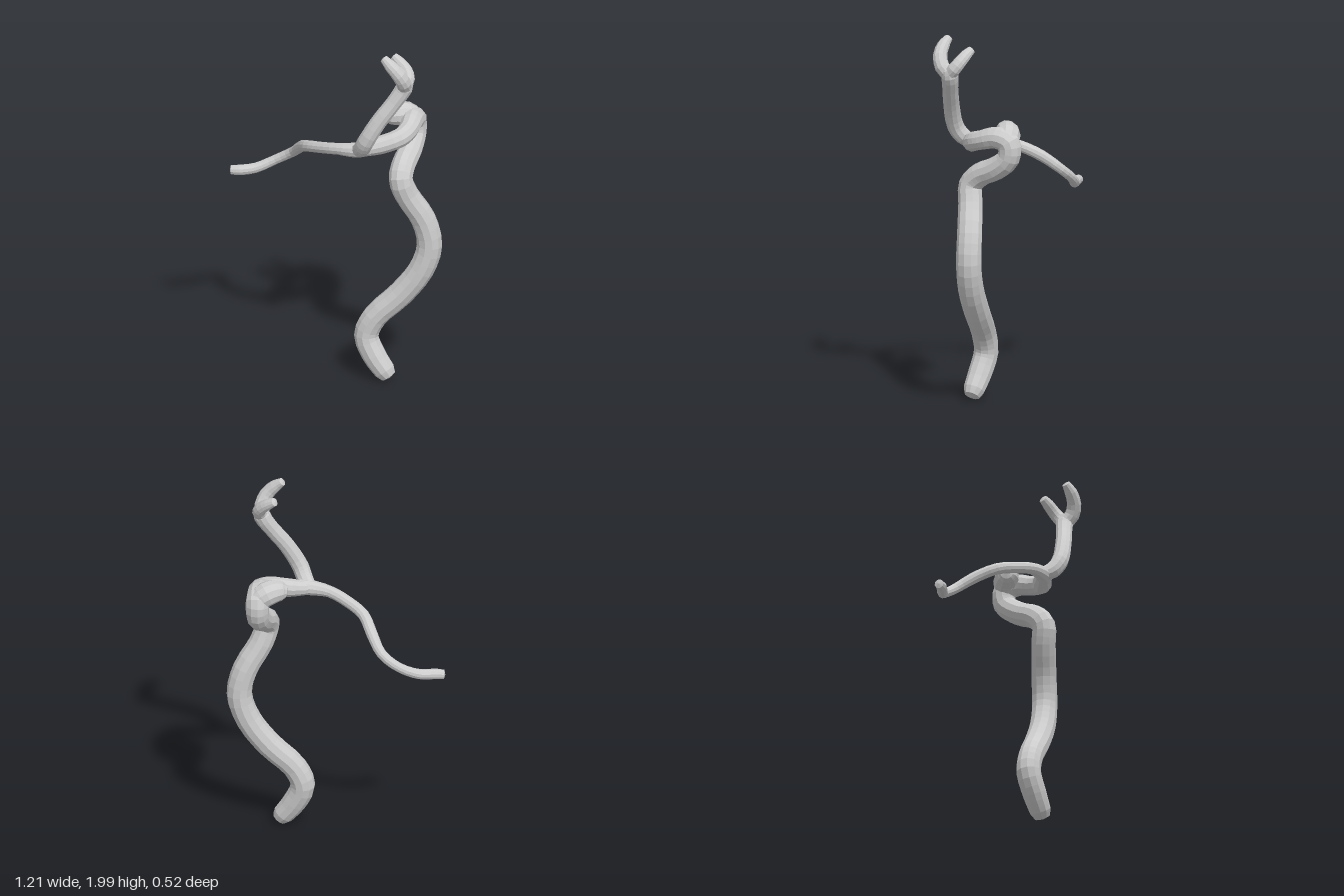
import * as THREE from 'three';

const SIDES = 11;

// Skins a tapering limb along points [x, y, z, radius], closed at both ends
function limb(name, points, material, steps = 3) {
  const path = new THREE.CatmullRomCurve3(points.map(([x, y, z]) => new THREE.Vector3(x, y, z)));
  const count = (points.length - 1) * steps;
  const pos = [], index = [];
  const normal = new THREE.Vector3(0, 0, 1), side = new THREE.Vector3();

  for (let i = 0; i <= count; i++) {
    const t = i / count;
    const centre = path.getPoint(t), dir = path.getTangent(t);
    // carry the ring direction along without twisting
    normal.addScaledVector(dir, -normal.dot(dir)).normalize();
    side.crossVectors(dir, normal);
    const k = Math.min(Math.floor(i / steps), points.length - 2);
    const r = THREE.MathUtils.lerp(points[k][3], points[k + 1][3], i / steps - k);
    for (let j = 0; j < SIDES; j++) {
      const a = (j / SIDES) * Math.PI * 2;
      const p = centre.clone()
        .addScaledVector(normal, r * Math.cos(a))
        .addScaledVector(side, r * Math.sin(a));
      pos.push(p.x, p.y, p.z);
    }
  }
  for (let i = 0; i < count; i++) {
    for (let j = 0; j < SIDES; j++) {
      const a = i * SIDES + j, b = i * SIDES + (j + 1) % SIDES;
      index.push(a, b, b + SIDES, a, b + SIDES, a + SIDES);
    }
  }
  // slightly domed end caps
  const first = points[0], last = points[points.length - 1];
  [[0, first, -1], [1, last, 1]].forEach(([t, p, sign]) => {
    const tip = path.getPoint(t).addScaledVector(path.getTangent(t), sign * p[3] * 0.25);
    const c = pos.length / 3, start = t * count * SIDES;
    pos.push(tip.x, tip.y, tip.z);
    for (let j = 0; j < SIDES; j++) {
      const a = start + j, b = start + (j + 1) % SIDES;
      if (t) index.push(c, a, b);
      else index.push(c, b, a);
    }
  });

  const geometry = new THREE.BufferGeometry();
  geometry.setAttribute('position', new THREE.Float32BufferAttribute(pos, 3));
  geometry.setIndex(index);
  geometry.computeVertexNormals();
  const mesh = new THREE.Mesh(geometry, material);
  mesh.name = name;
  return mesh;
}

export function createModel() {
  const grey = new THREE.MeshStandardMaterial({ color: 0xcccccc, flatShading: true });
  grey.name = 'light grey';

  const group = new THREE.Group();
  group.name = 'twistedBranch';

  // Winding trunk, looping backwards at the top and on into the fork
  group.add(limb('trunk', [
    [0.338, 0.03, 0.065, 0.042], [0.315, 0.06, 0.064, 0.058],
    [0.255, 0.14, 0.06, 0.065], [0.207, 0.25, 0.05, 0.067],
    [0.25, 0.36, 0.04, 0.067], [0.385, 0.5, 0.005, 0.07],
    [0.492, 0.65, -0.018, 0.07], [0.537, 0.8, -0.03, 0.069],
    [0.507, 0.95, -0.018, 0.068], [0.427, 1.1, 0.022, 0.066],
    [0.397, 1.2, 0.038, 0.065], [0.395, 1.26, -0.02, 0.065],
    [0.4, 1.3, -0.11, 0.064], [0.4, 1.37, -0.197, 0.062],
    [0.4, 1.45, -0.197, 0.064], [0.408, 1.475, -0.13, 0.06],
    [0.412, 1.455, -0.04, 0.053], [0.385, 1.435, 0.03, 0.052],
    [0.29, 1.405, 0.09, 0.05], [0.19, 1.388, 0.148, 0.038],
  ], grey));

  // Blunt broken stub on top of the loop
  group.add(limb('stub', [
    [0.41, 1.445, -0.19, 0.062], [0.36, 1.485, -0.17, 0.068],
    [0.32, 1.493, -0.14, 0.064], [0.285, 1.49, -0.12, 0.054],
    [0.262, 1.488, -0.112, 0.036],
  ], grey));

  // Long thin branch drooping to the right
  group.add(limb('longBranch', [
    [0.25, 1.4, 0.125, 0.042], [0.18, 1.388, 0.147, 0.042],
    [0.08, 1.378, 0.143, 0.032], [-0.03, 1.35, 0.1, 0.031],
    [-0.13, 1.315, 0.035, 0.031], [-0.195, 1.26, -0.06, 0.031],
    [-0.27, 1.18, -0.14, 0.027], [-0.37, 1.115, -0.15, 0.026],
    [-0.47, 1.068, -0.11, 0.028], [-0.55, 1.06, -0.073, 0.029],
    [-0.595, 1.058, -0.064, 0.025],
  ], grey));

  // Rising branch, ending in two curled prongs
  group.add(limb('risingBranch', [
    [0.19, 1.39, 0.145, 0.038], [0.225, 1.42, 0.185, 0.045],
    [0.258, 1.48, 0.213, 0.046], [0.325, 1.6, 0.197, 0.044],
    [0.4, 1.71, 0.162, 0.043], [0.45, 1.795, 0.138, 0.047],
    [0.46, 1.835, 0.143, 0.038],
  ], grey));
  const prongs = {
    frontProng: [
      [0.45, 1.8, 0.14, 0.04], [0.46, 1.84, 0.178, 0.041],
      [0.44, 1.895, 0.203, 0.039], [0.395, 1.945, 0.207, 0.034],
      [0.353, 1.98, 0.198, 0.022],
    ],
    backProng: [
      [0.45, 1.8, 0.14, 0.04], [0.46, 1.835, 0.105, 0.037],
      [0.44, 1.872, 0.08, 0.034], [0.4, 1.905, 0.066, 0.031],
      [0.363, 1.928, 0.054, 0.023],
    ],
  };
  for (const [name, points] of Object.entries(prongs)) group.add(limb(name, points, grey, 2));

  return group;
}
